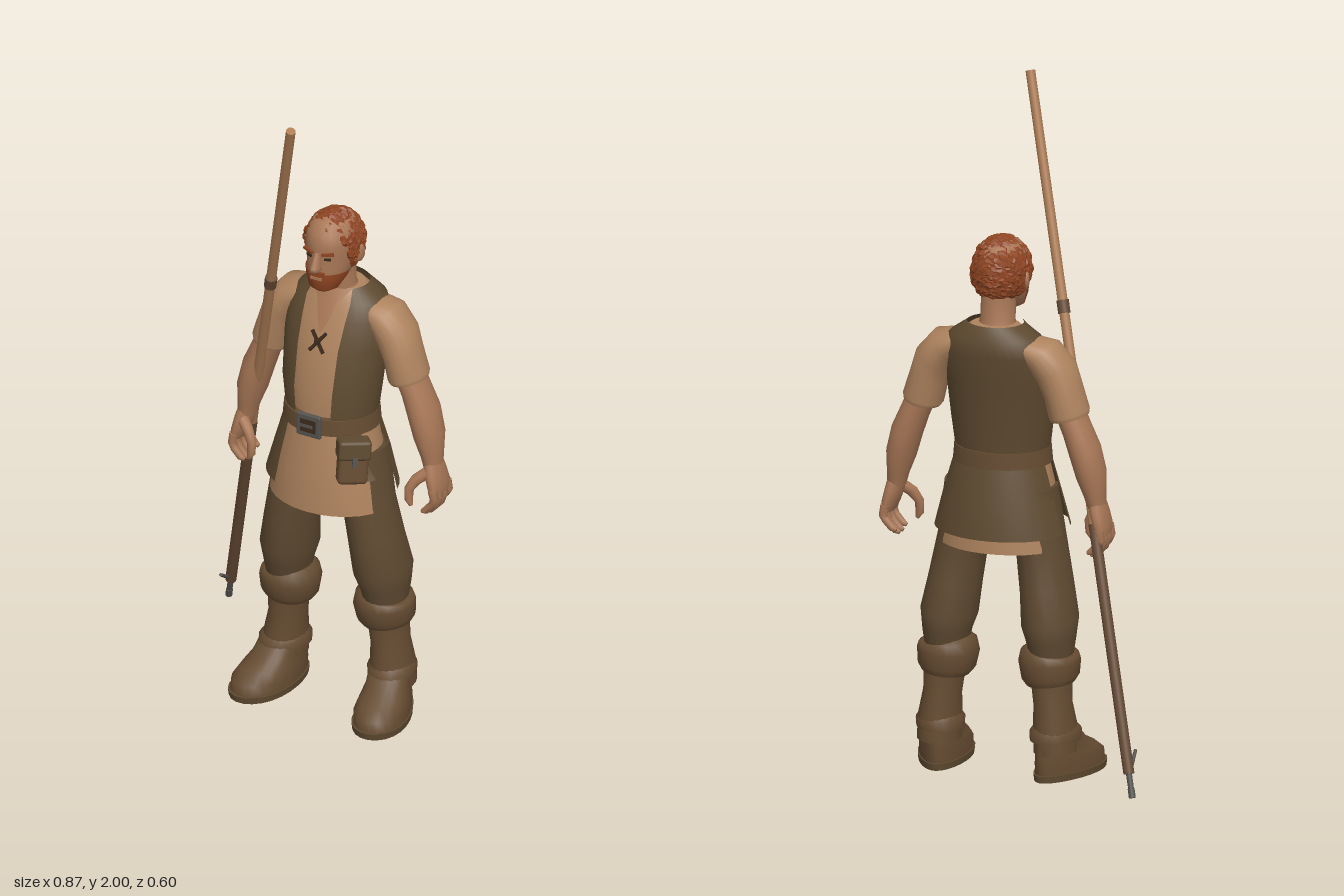
import * as THREE from 'three';
import { mergeGeometries } from 'three/addons/utils/BufferGeometryUtils.js';
import { RoundedBoxGeometry } from 'three/addons/geometries/RoundedBoxGeometry.js';

const mat = (name, color) => {
  const m = new THREE.MeshStandardMaterial({ color });
  m.name = name;
  return m;
};
const TAU = Math.PI * 2;

// One cross-section of the trunk or head: height, half width, front z, back z, angle range
const ring = (y, rx, zf, zb, from, to) => [0, y, (zf + zb) / 2, rx, (zf - zb) / 2, from, to];

// Skin elliptical sections [x, y, z, rx, rz, from, to]; angle 0 is the front
function loft(sections, { seg = 20, open = false, egg = 0, caps = !open } = {}) {
  const pos = [], idx = [], n = sections.length, cols = open ? seg + 1 : seg;
  const rows = sections.map(([x, y, z, rx, rz, from = 0, to = TAU], i) => {
    const a = sections[Math.max(i - 1, 0)], b = sections[Math.min(i + 1, n - 1)];
    const len = Math.hypot(b[0] - a[0], b[1] - a[1]) || 1;
    const ux = (b[1] - a[1]) / len, uy = -(b[0] - a[0]) / len;
    return Array.from({ length: cols }, (_, j) => {
      const t = from + (to - from) * j / seg;
      const w = Math.sin(t) * rx * (1 + egg * Math.cos(t));
      return [x + ux * w, y + uy * w, z + Math.cos(t) * rz];
    });
  });
  rows.forEach(r => r.forEach(p => pos.push(...p)));
  for (let i = 0; i < n - 1; i++) for (let j = 0; j < seg; j++) {
    const k = open ? j + 1 : (j + 1) % seg;
    const a = i * cols + j, b = i * cols + k, c = a + cols, d = b + cols;
    idx.push(a, b, c, b, d, c);
  }
  if (caps) for (const end of [0, n - 1]) {
    const base = pos.length / 3, [x, y, z] = sections[end];
    pos.push(x, y, z);
    rows[end].forEach(p => pos.push(...p));
    for (let j = 0; j < seg; j++) {
      const p = base + 1 + j, q = base + 1 + (j + 1) % seg;
      idx.push(base, ...(end ? [p, q] : [q, p]));
    }
  }
  const g = new THREE.BufferGeometry();
  g.setAttribute('position', new THREE.Float32BufferAttribute(pos, 3));
  g.setIndex(idx);
  g.computeVertexNormals();
  return g;
}

export function createModel() {
  const M = {
    skin: mat('skin', 0xa87756), shirt: mat('linen shirt', 0xae835e), vest: mat('vest leather', 0x5e4a30),
    trousers: mat('trouser cloth', 0x5f4a31), boots: mat('boot leather', 0x664c32), hair: mat('red hair', 0x8f4522),
    wood: mat('light wood', 0xac7c55), darkWood: mat('dark wood', 0x664a35), metal: mat('metal', 0x55534f),
    dark: mat('dark cord', 0x3c2a1c),
  };
  M.vest.side = M.shirt.side = M.hair.side = THREE.DoubleSide;
  const model = new THREE.Group(), body = new THREE.Group();
  model.name = 'villagerWithStaff';
  body.name = 'body';
  body.position.x = 0.088;
  model.add(body);
  const add = (name, geo, m, parent = body, p = [0, 0, 0], r = [0, 0, 0]) => {
    const mesh = new THREE.Mesh(geo, m);
    mesh.name = name;
    mesh.position.set(...p);
    mesh.rotation.set(...r);
    parent.add(mesh);
    return mesh;
  };
  const box = (w, h, d) => new THREE.BoxGeometry(w, h, d);

  // Trunk: shirt, open vest with flaring tails, hips
  const trunk = [[0.94, 0.133, 0.115, -0.115], [1.05, 0.148, 0.115, -0.122], [1.18, 0.156, 0.088, -0.138],
    [1.26, 0.158, 0.055, -0.152], [1.31, 0.135, 0.032, -0.152], [1.348, 0.08, 0.012, -0.125]];
  add('shirt', loft(trunk.map(([y, x, f, b]) => ring(y - 0.006, x - 0.01, f - 0.01, b + 0.01)), { seg: 28 }), M.shirt);
  const gap = [0.42, 0.43, 0.43, 0.45, 0.55, 0.85];
  add('vest', loft(trunk.map(([y, x, f, b], i) => ring(y, x + 0.003, f + 0.004, b - 0.004, gap[i], TAU - gap[i])),
    { seg: 32, open: true }), M.vest);
  add('shirtSkirt', loft([ring(0.675, 0.188, 0.148, -0.145), ring(0.8, 0.165, 0.14, -0.135), ring(0.95, 0.13, 0.115, -0.115)],
    { seg: 28, caps: false }), M.shirt);
  const tail = (name, a0, a1, low) => add(name, loft([
    ring(low, 0.2, 0.162, -0.168, a0, a1), ring(0.83, 0.172, 0.148, -0.152, a0 + 0.02, a1 - 0.02),
    ring(0.95, 0.137, 0.12, -0.12, a0 + 0.05, a1 - 0.05)], { seg: 16, open: true }), M.vest);
  tail('vestTailBack', 1.75, 4.53, 0.72);
  tail('vestTailRight', -1.4, -0.6, 0.735);
  tail('vestTailLeft', 0.65, 1.15, 0.79);
  add('hips', loft([ring(0.66, 0.07, 0.05, -0.06), ring(0.74, 0.15, 0.09, -0.1), ring(0.9, 0.12, 0.09, -0.1)]), M.trousers);

  // Open collar and crossed lacing
  add('openCollar', loft([ring(1.225, 0.15, 0.067, -0.13, -0.03, 0.03), ring(1.26, 0.15, 0.052, -0.14, -0.12, 0.12),
    ring(1.31, 0.128, 0.03, -0.13, -0.28, 0.28), ring(1.346, 0.075, 0.01, -0.1, -0.9, 0.9)], { seg: 10, open: true }), M.skin);
  for (const s of [-1, 1]) add('lacing', box(0.009, 0.075, 0.007), M.dark, body, [0, 1.2, 0.082], [-0.3, 0, s * 0.65]);
  add('lacingKnot', box(0.016, 0.016, 0.01), M.dark, body, [0, 1.2, 0.085]);

  // Belt, buckle and pouch
  add('belt', loft([ring(0.922, 0.146, 0.128, -0.128), ring(0.97, 0.142, 0.125, -0.126)], { seg: 28 }), M.boots);
  add('buckle', new RoundedBoxGeometry(0.08, 0.072, 0.014, 2, 0.005), M.metal, body, [0, 0.95, 0.13]);
  add('buckleInset', box(0.05, 0.04, 0.006), M.dark, body, [0, 0.95, 0.136]);
  add('bucklePin', box(0.042, 0.009, 0.007), M.metal, body, [-0.004, 0.95, 0.138]);
  const pouch = new THREE.Group();
  pouch.name = 'pouch';
  pouch.position.set(0.132, 0.86, 0.108);
  pouch.rotation.set(-0.12, 0.72, 0);
  body.add(pouch);
  add('pouchBag', new RoundedBoxGeometry(0.088, 0.125, 0.05, 3, 0.014), M.boots, pouch, [0, -0.005, 0]);
  add('pouchFlap', new RoundedBoxGeometry(0.096, 0.06, 0.06, 2, 0.01), M.vest, pouch, [0, 0.04, 0.002]);
  add('pouchClasp', box(0.014, 0.03, 0.008), M.metal, pouch, [0, 0.008, 0.032]);

  // Arms, hands, legs and boots, mirrored
  for (const s of [-1, 1]) {
    const side = s > 0 ? 'left' : 'right';
    const limb = (name, rows, m, opt) => add(side + name, loft(rows.map(([x, ...r]) => [s * x, ...r]), opt), m);
    limb('Sleeve', [[0.10, 1.285, -0.06, 0.035, 0.06], [0.15, 1.262, -0.056, 0.056, 0.074], [0.187, 1.215, -0.052, 0.06, 0.074],
      [0.207, 1.16, -0.05, 0.056, 0.07], [0.225, 1.095, -0.05, 0.059, 0.07], [0.228, 1.083, -0.05, 0.054, 0.065]], M.shirt);
    limb('Arm', [[0.215, 1.13, -0.05, 0.042, 0.052], [0.25, 1.05, -0.052, 0.042, 0.054], [0.274, 0.99, -0.052, 0.045, 0.06],
      [0.293, 0.92, -0.05, 0.043, 0.056], [0.304, 0.86, -0.048, 0.031, 0.042], [0.309, 0.825, -0.046, 0.026, 0.036]], M.skin);
    limb('Palm', [[0.306, 0.85, -0.046, 0.024, 0.034], [0.315, 0.81, -0.045, 0.026, 0.046], [0.327, 0.77, -0.045, 0.022, 0.052],
      [0.332, 0.745, -0.046, 0.015, 0.046]], M.skin, { seg: 14 });
    [-0.085, -0.058, -0.031, -0.005].forEach((z, i) => {
      const d = [0.014, 0, 0, 0.008][i];
      limb('Finger', [[0.33, 0.765, z, 0.014, 0.014], [0.336, 0.735, z, 0.013, 0.013], [0.328, 0.708 + d, z, 0.012, 0.012],
        [0.307, 0.685 + d, z, 0.011, 0.011], [0.295, 0.68 + d, z, 0.006, 0.006]], M.skin, { seg: 8 });
    });
    limb('Thumb', [[0.31, 0.815, -0.02, 0.018, 0.02], [0.28, 0.79, 0.0, 0.017, 0.017], [0.262, 0.76, 0.01, 0.014, 0.014],
      [0.262, 0.725, 0.013, 0.012, 0.012], [0.27, 0.708, 0.013, 0.006, 0.006]], M.skin, { seg: 10 });
    limb('TrouserLeg', [[0.085, 0.84, -0.01, 0.085, 0.09], [0.12, 0.68, -0.003, 0.073, 0.088], [0.14, 0.56, -0.012, 0.076, 0.096],
      [0.155, 0.46, -0.024, 0.081, 0.103], [0.16, 0.41, -0.028, 0.07, 0.09], [0.162, 0.35, -0.03, 0.06, 0.075]], M.trousers);
    limb('BootCuff', [[0.158, 0.376, -0.03, 0.07, 0.076], [0.157, 0.37, -0.03, 0.084, 0.086], [0.156, 0.345, -0.03, 0.09, 0.093],
      [0.16, 0.3, -0.033, 0.084, 0.087], [0.162, 0.28, -0.035, 0.07, 0.075]], M.boots);
    limb('BootShaft', [[0.164, 0.3, -0.036, 0.06, 0.066], [0.17, 0.22, -0.04, 0.055, 0.064], [0.178, 0.14, -0.04, 0.063, 0.078],
      [0.18, 0.08, -0.04, 0.062, 0.08]], M.boots);
    const foot = new THREE.Group();
    foot.name = side + 'Foot';
    foot.position.set(s * 0.178, 0, -0.035);
    foot.rotation.y = s * 0.2;
    body.add(foot);
    add('bootFoot', loft([ring(0.018, 0.074, 0.205, -0.083), ring(0.05, 0.074, 0.2, -0.085), ring(0.075, 0.067, 0.165, -0.085),
      ring(0.1, 0.06, 0.115, -0.083), ring(0.14, 0.06, 0.07, -0.08)], { seg: 24, egg: 0.22 }), M.boots, foot);
    add('bootSole', loft([ring(0, 0.076, 0.21, -0.088), ring(0.02, 0.078, 0.213, -0.09)], { seg: 24, egg: 0.22 }), M.vest, foot);
    add('ankleFold', loft([ring(0.115, 0.069, 0.085, -0.088), ring(0.14, 0.071, 0.082, -0.087), ring(0.155, 0.06, 0.066, -0.075)]), M.boots, foot);
  }

  // Neck, head and short beard
  add('neck', loft([ring(1.31, 0.064, 0.01, -0.11), ring(1.35, 0.051, 0.01, -0.088), ring(1.43, 0.05, 0.02, -0.085)]), M.skin);
  const skull = [[1.363, 0.022, 0.07, 0.02], [1.375, 0.042, 0.084, -0.005], [1.41, 0.06, 0.088, -0.06], [1.45, 0.069, 0.086, -0.09],
    [1.48, 0.073, 0.084, -0.1], [1.51, 0.074, 0.088, -0.1], [1.545, 0.07, 0.078, -0.092], [1.57, 0.052, 0.055, -0.075], [1.583, 0.02, 0.02, -0.03]];
  add('head', loft(skull.map(r => ring(...r)), { seg: 24 }), M.skin);
  const wide = [1.4, 1.45, 1.5, 1.5];
  add('beard', loft([...skull.slice(0, 3), [1.426, 0.064, 0.087, -0.07]].map(([y, x, f, b], i) =>
    ring(y, x + 0.004, f + 0.004, b, -wide[i], wide[i])), { seg: 18, open: true }), M.hair);
  add('mouth', box(0.036, 0.008, 0.008), M.skin, body, [0, 1.412, 0.09]);
  add('moustache', box(0.048, 0.01, 0.009), M.hair, body, [0, 1.428, 0.088]);
  add('nose', loft([ring(1.434, 0.008, 0.1, 0.07), ring(1.441, 0.017, 0.119, 0.07), ring(1.452, 0.013, 0.117, 0.07),
    ring(1.492, 0.008, 0.092, 0.07)], { seg: 12 }), M.skin);
  for (const s of [-1, 1]) {
    add('eye', box(0.02, 0.007, 0.006), M.dark, body, [s * 0.03, 1.475, 0.077], [0, s * 0.35, 0]);
    add('eyebrow', box(0.036, 0.008, 0.009), M.hair, body, [s * 0.032, 1.492, 0.08], [0, s * 0.35, s * 0.1]);
    add('ear', new THREE.SphereGeometry(1, 12, 8), M.skin, body, [s * 0.08, 1.468, -0.018], [0, s * -0.4, 0]).scale.set(0.009, 0.029, 0.019);
  }

  // Curly hair: overlapping faceted clumps spread over the scalp
  const rand = i => { const v = Math.sin(i * 12.9898) * 43758.5453; return v - Math.floor(v); };
  const clumps = [], count = 440, out = new THREE.Vector3(), up = new THREE.Vector3(0, 1, 0);
  for (let i = 0; i < count; i++) {
    const h = 1 - 2 * (i + 0.5) / count, r = Math.sqrt(1 - h * h), a = i * 2.39996;
    out.set(Math.cos(a) * r, h, Math.sin(a) * r);
    const x = out.x * 0.076, y = 1.488 + h * 0.092, z = -0.012 + out.z * 0.092;
    if (y < 1.43 + 0.115 * THREE.MathUtils.smoothstep(z, -0.01, 0.055)) continue;
    const g = new THREE.DodecahedronGeometry(0.014 + 0.004 * rand(i), 0);
    g.rotateY(rand(i + 900) * TAU).scale(1.2, 0.55 + 0.35 * rand(i + 500), 0.85);
    g.applyQuaternion(new THREE.Quaternion().setFromUnitVectors(up, out));
    clumps.push(g.translate(x, y, z));
  }
  add('hair', mergeGeometries(clumps), M.hair);

  // Slanted staff with collar, metal tip and side spur
  const rod = (name, p, q, r0, r1, m) => {
    const a = new THREE.Vector3(...p), b = new THREE.Vector3(...q), d = b.clone().sub(a);
    const mesh = add(name, new THREE.CylinderGeometry(r1, r0, d.length(), 12), m, model, a.clone().add(b).multiplyScalar(0.5).toArray());
    mesh.quaternion.setFromUnitVectors(up, d.normalize());
  };
  const at = y => [-0.41 + 0.2804 * (y - 0.11), y, -0.27 + 0.2937 * (y - 0.11)];
  rod('staffUpper', at(0.78), at(1.996), 0.015, 0.014, M.wood);
  rod('staffLower', at(0.11), at(0.78), 0.016, 0.016, M.darkWood);
  rod('staffCollar', at(1.345), at(1.38), 0.018, 0.018, M.darkWood);
  rod('staffTip', at(0.045), at(0.13), 0.008, 0.009, M.metal);
  rod('staffTipKnob', at(0.045), at(0.07), 0.01, 0.01, M.metal);
  rod('staffSpur', [-0.412, 0.115, -0.268], [-0.402, 0.16, -0.2], 0.006, 0.005, M.metal);
  return model;
}
